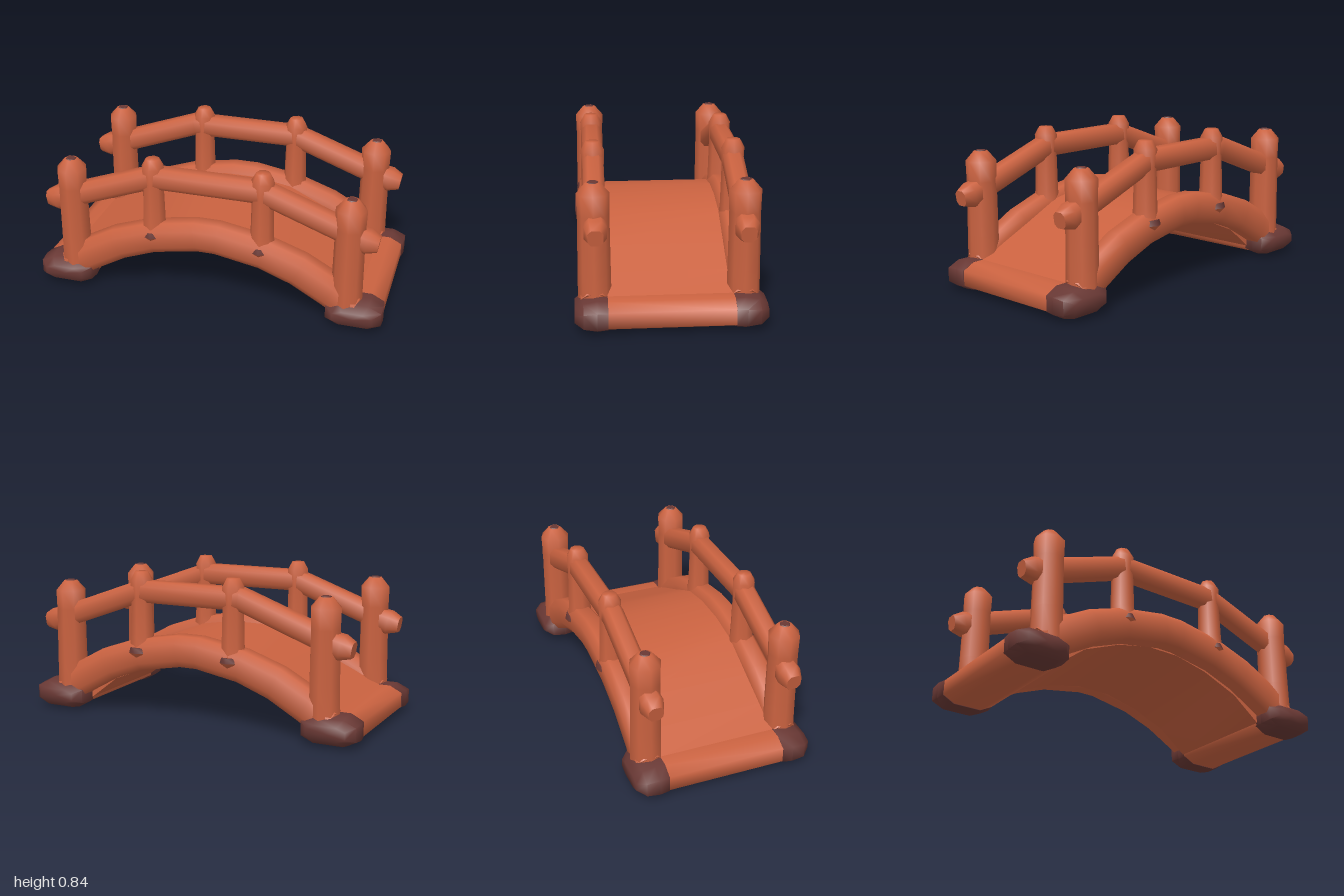
import * as THREE from 'three';
import { toCreasedNormals } from 'three/addons/utils/BufferGeometryUtils.js';

const wood = new THREE.MeshStandardMaterial({ color: 0xca6240 });
wood.name = 'red wood';
const dark = new THREE.MeshStandardMaterial({ color: 0x693834 });
dark.name = 'dark end wood';

const SIDES = 8;
const CREASE = 1.15;

// Slightly squared ring of corners around a centre, spanned by the directions u and v
const squared = (t) => Math.sign(t) * Math.abs(t) ** 0.7;
function ring(c, u, v, ru, rv) {
  return Array.from({ length: SIDES }, (_, i) => {
    const a = ((i + 0.5) / SIDES) * Math.PI * 2;
    return c.clone().addScaledVector(u, squared(Math.cos(a)) * ru)
      .addScaledVector(v, squared(Math.sin(a)) * rv);
  });
}

// Closed skin through a row of rings, turned so that faces point outwards
function loft(rings) {
  const pts = rings.flat();
  const last = rings.length - 1;
  const tris = [];
  const centre = (r) => r.reduce((s, p) => s.add(p), new THREE.Vector3()).divideScalar(SIDES);
  const a0 = pts.push(centre(rings[0])) - 1;
  const a1 = pts.push(centre(rings[last])) - 1;
  for (let j = 0; j < SIDES; j++) {
    const k = (j + 1) % SIDES;
    for (let i = 0; i < last; i++) {
      const a = i * SIDES + j, b = i * SIDES + k;
      tris.push([a, b, b + SIDES], [a, b + SIDES, a + SIDES]);
    }
    tris.push([a0, k, j], [a1, last * SIDES + j, last * SIDES + k]);
  }
  let volume = 0;
  const n = new THREE.Vector3();
  for (const [a, b, c] of tris) volume += pts[a].dot(n.crossVectors(pts[b], pts[c]));
  const g = new THREE.BufferGeometry().setFromPoints(pts);
  g.setIndex(tris.flatMap(([a, b, c]) => (volume > 0 ? [a, b, c] : [a, c, b])));
  return toCreasedNormals(g, CREASE);
}

// Log bent in the x-y plane; each point is [x, y, height radius, depth radius]
function bentLog(points, z) {
  const Z = new THREE.Vector3(0, 0, 1);
  return loft(points.map(([x, y, r, rz], i) => {
    const p = points[Math.max(i - 1, 0)], q = points[Math.min(i + 1, points.length - 1)];
    const normal = new THREE.Vector3(p[1] - q[1], q[0] - p[0], 0).normalize();
    return ring(new THREE.Vector3(x, y, z), normal, Z, r, rz);
  }));
}

// Log along z; each point is [z, x radius, y radius]
function crossLog(points, x, y) {
  return loft(points.map(([z, rx, ry]) => ring(
    new THREE.Vector3(x, y, z), new THREE.Vector3(1, 0, 0), new THREE.Vector3(0, 1, 0), rx, ry)));
}

// Upright turned part; each point is [radius, y]
function turned(points) {
  return toCreasedNormals(
    new THREE.LatheGeometry(points.map(([r, y]) => new THREE.Vector2(r, y)), SIDES), CREASE);
}

// Mirror the x > 0 half of a row of points to the other side
const mirrored = (half) => [...half.map(([x, ...rest]) => [-x, ...rest]).reverse(), ...half];

export function createModel() {
  const model = new THREE.Group();
  model.name = 'arched bridge';
  const add = (name, geometry, material, x = 0, y = 0, z = 0) => {
    const mesh = new THREE.Mesh(geometry, material);
    mesh.name = name;
    mesh.position.set(x, y, z);
    model.add(mesh);
  };

  // Arched walkway, running down over the ground logs
  const top = mirrored([[0.1, 0.454], [0.3, 0.42], [0.52, 0.315], [0.7, 0.235], [0.86, 0.158], [0.965, 0.115]]);
  const under = mirrored([[0.1, 0.324], [0.3, 0.28], [0.52, 0.19], [0.7, 0.05], [0.965, 0.06]]).reverse();
  const profile = new THREE.Shape([...top, ...under].map(([x, y]) => new THREE.Vector2(x, y)));
  const deck = new THREE.ExtrudeGeometry(profile, { depth: 0.68, bevelEnabled: false });
  add('deck', toCreasedNormals(deck, 0.7), wood, 0, 0, -0.34);

  // Posts: tall ones at the ends, slimmer ones on the arch
  const endPost = turned([[0, 0.06], [0.088, 0.06], [0.085, 0.3], [0.082, 0.6],
    [0.085, 0.71], [0.038, 0.765], [0, 0.765]]);
  const archPost = turned([[0, 0.39], [0.074, 0.39], [0.066, 0.47], [0.06, 0.7],
    [0.064, 0.79], [0.038, 0.838], [0, 0.838]]);
  const archPostFoot = turned([[0, 0.355], [0.04, 0.358], [0.062, 0.385], [0, 0.385]]);
  const archPostCollar = turned([[0, 0.385], [0.062, 0.385], [0.054, 0.415], [0, 0.415]]);
  const knot = new THREE.CylinderGeometry(0.026, 0.03, 0.006, 6);

  for (const s of [1, -1]) {
    const z = s > 0 ? 0.39 : -0.382;
    const side = s > 0 ? 'front' : 'back';

    // Side beam following the arch
    add(side + 'Beam', bentLog(mirrored([[0.06, 0.413, 0.093, 0.075], [0.32, 0.367, 0.094, 0.075],
      [0.52, 0.295, 0.097, 0.075], [0.7, 0.195, 0.098, 0.077], [0.82, 0.11, 0.088, 0.077]]), z), wood);

    // Handrail with blunt, swollen ends
    add(side + 'Rail', bentLog(mirrored([[0.31, 0.728, 0.065, 0.058], [0.7, 0.585, 0.065, 0.058],
      [0.83, 0.538, 0.064, 0.058], [0.885, 0.522, 0.069, 0.062], [0.945, 0.512, 0.045, 0.042]]),
    s * 0.382), wood);

    for (const d of [1, -1]) {
      const archX = d > 0 ? 0.31 : s > 0 ? -0.31 : -0.26;
      const lift = d < 0 ? 0.012 : -0.01;
      add(side + 'EndPost', endPost, wood, d * 0.79, lift, z);
      add(side + 'EndPostKnot', knot, dark, d * 0.79, 0.767 + lift, z);
      add(side + 'ArchPost', archPost, wood, archX, 0, s * 0.383);
      add(side + 'ArchPostFoot', archPostFoot, wood, archX, 0, s * 0.413);
      add(side + 'ArchPostCollar', archPostCollar, dark, archX, 0, s * 0.413);

      // Dark end of the ground log, chamfered around the post
      add(side + 'GroundLogEnd', crossLog([[s * 0.325, 0.158, 0.083], [s * 0.38, 0.166, 0.088],
        [s * 0.45, 0.162, 0.074], [s * 0.495, 0.115, 0.04]], d * 0.84, 0.085), dark);
    }
  }

  // Ground logs across both ends
  for (const d of [1, -1]) {
    add('groundLog', crossLog([[-0.36, 0.157, 0.081], [0.36, 0.157, 0.081]], d * 0.838, 0.086), wood);
  }
  return model;
}
